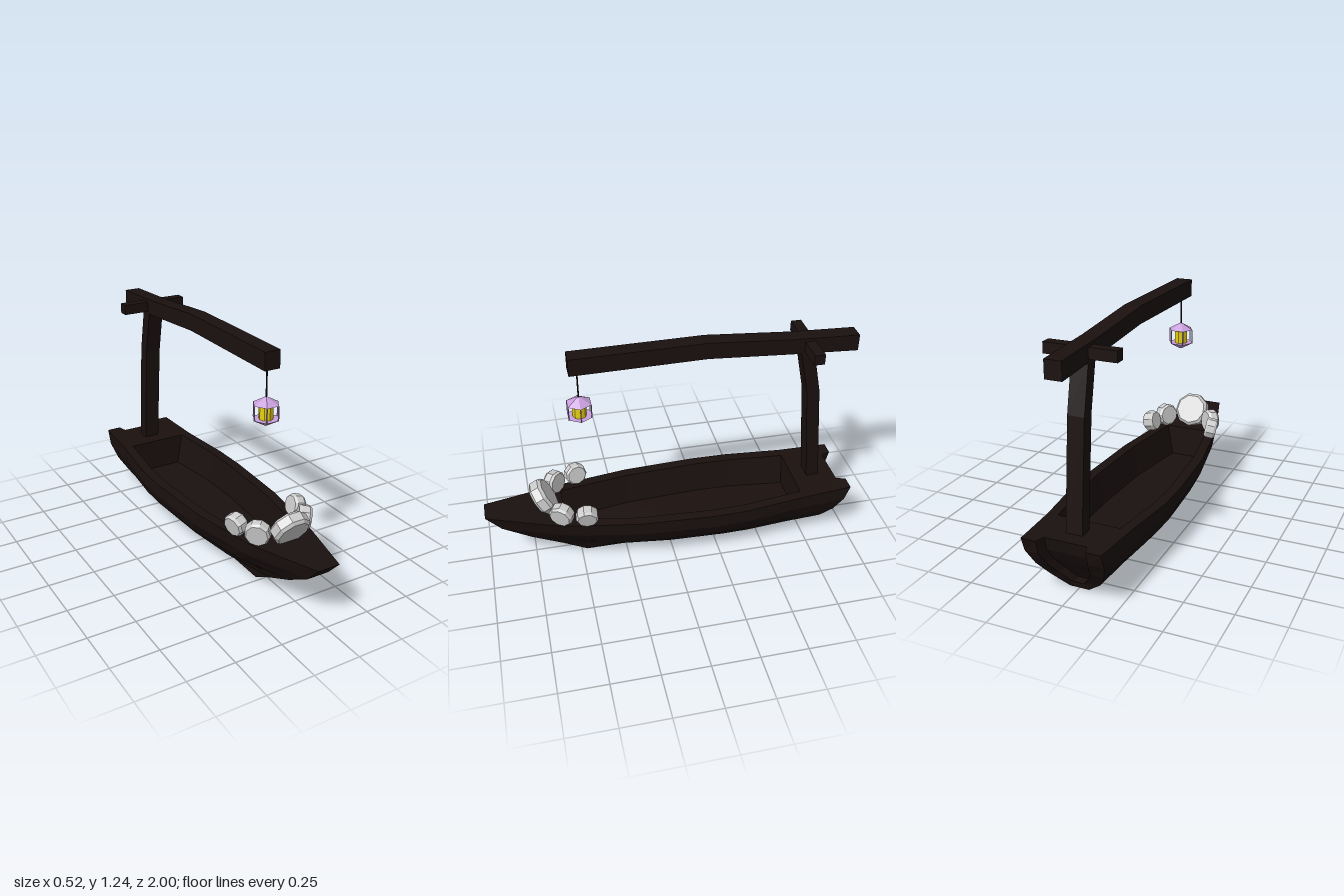
import * as THREE from 'three';

const mat = (color) => new THREE.MeshStandardMaterial({ color, flatShading: true, side: THREE.DoubleSide });

// Skin a surface through rows of [x, y, z] points
function loft(rows) {
  const pos = [];
  for (let i = 0; i < rows.length - 1; i++) {
    for (let j = 0; j < rows[i].length - 1; j++) {
      const a = rows[i][j], b = rows[i][j + 1], c = rows[i + 1][j + 1], d = rows[i + 1][j];
      pos.push(...a, ...b, ...c, ...a, ...c, ...d);
    }
  }
  const g = new THREE.BufferGeometry();
  g.setAttribute('position', new THREE.Float32BufferAttribute(pos, 3));
  g.computeVertexNormals();
  return g;
}

export function createModel() {
  const root = new THREE.Group();
  const wood = mat(0x1a110f), stoneMat = mat(0xcccccc), purple = mat(0xc9a0dc), yellow = mat(0xe6d012);
  const add = (parent, name, geo, material, x = 0, y = 0, z = 0) => {
    const m = new THREE.Mesh(geo, material);
    m.name = name;
    m.position.set(x, y, z);
    parent.add(m);
    return m;
  };

  // Hull stations: z at the sheer, half width, sheer height (bow to stern)
  const stations = [
    [1, 0.06, 0.33], [0.64, 0.165, 0.303], [0.58, 0.178, 0.3], [0.2, 0.24, 0.294], [-0.2, 0.262, 0.292],
    [-0.4, 0.258, 0.293], [-0.72, 0.222, 0.3], [-0.95, 0.208, 0.308], [-1, 0.205, 0.31],
  ];
  // Section levels: width fraction, height fraction, stern z, bow z (keel to sheer)
  const levels = [
    [0, 0, -0.83, 0.47], [0.53, 0.22, -0.87, 0.6], [0.83, 0.47, -0.925, 0.77],
    [1, 0.74, -0.97, 0.92], [1, 1, -1, 1],
  ];
  const half = ([z, w, h]) => levels.map(([fx, fy, zs, zb]) =>
    [0.05 + (w - 0.05) * fx, h * fy, zs + (zb - zs) * (z + 1) / 2]);
  const mirror = ([x, y, z]) => [-x, y, z];
  const full = (pts) => [...pts.map(mirror).reverse(), ...pts];

  const hull = new THREE.Group();
  hull.name = 'hull';
  root.add(hull);
  add(hull, 'hullSkin', loft(stations.map((s) => full(half(s)))), wood);
  const across = (pts) => pts.map((p) => [mirror(p), p]);
  add(hull, 'stem', loft(across(half(stations[0]))), wood);

  // Decks and gunwales around the open well
  const edge = ([z, w, h]) => [[-w, h, z], [w, h, z]];
  add(hull, 'bowDeck', loft(stations.slice(0, 3).map(edge)), wood);
  add(hull, 'sternDeck', loft(stations.slice(6, 8).map(edge)), wood);
  const well = stations.slice(2, 7);
  const inner = (w) => w - 0.055;
  for (const s of [1, -1]) {
    add(hull, 'gunwale', loft(well.map(([z, w, h]) => [[s * w, h, z], [s * inner(w), h, z]])), wood);
  }
  const wellRow = ([z, w, h]) => full([[inner(w) - 0.03, 0.12, z], [inner(w), h, z]]);
  add(hull, 'well', loft(well.map(wellRow)), wood);
  for (const s of [well[0], well[4]]) {
    const r = wellRow(s);
    add(hull, 'wellEnd', loft([[r[0], r[3]], [r[1], r[2]]]), wood);
  }

  // Recessed transom inside a thick stern rim
  const outer = half(stations[8]);
  const rim = outer.map(([x, y, z], j) => [x * 0.62, j === 4 ? y : y * 0.88 + 0.035, z - (j < 4 ? 0.012 : 0)]);
  const recess = rim.map(([x, y, z], j) => [x * 0.87, j === 4 ? 0.308 : y, z + 0.05]);
  add(hull, 'sternRim', loft([full(outer), full(rim), full(recess)]), wood);
  add(hull, 'transom', loft(across(recess)), wood);
  for (const s of [1, -1]) {
    const side = (p) => [s * p[0], p[1], p[2]];
    add(hull, 'sternHorn', loft([[side([0.208, 0.308, -0.95]), side(recess[4])], [side(outer[4]), side(rim[4])]]), wood);
  }

  // Timbers: side outline in (z, y) extruded across x
  const timber = (name, outline, width) => {
    const shape = new THREE.Shape(outline.map(([z, y]) => new THREE.Vector2(-z, y)));
    const g = new THREE.ExtrudeGeometry(shape, { depth: width, bevelEnabled: false });
    g.translate(0, 0, -width / 2).rotateY(Math.PI / 2);
    add(root, name, g, wood);
  };
  timber('post', [[-0.87, 0.28], [-0.8, 0.28], [-0.745, 0.87], [-0.69, 1.13], [-0.76, 1.13], [-0.815, 0.87]], 0.086);
  timber('beam', [[0.5, 1.135], [0.5, 1.228], [-0.2, 1.235], [-0.65, 1.2], [-1, 1.185],
    [-1, 1.095], [-0.65, 1.115], [-0.2, 1.145]], 0.086);
  add(root, 'crossbar', new THREE.BoxGeometry(0.37, 0.055, 0.055), wood, 0, 1.152, -0.735);

  // Hanging lantern
  const lantern = new THREE.Group();
  lantern.name = 'lantern';
  lantern.position.set(0, 0.912, 0.455);
  root.add(lantern);
  const turn = Math.PI / 2;
  add(lantern, 'cord', new THREE.CylinderGeometry(0.004, 0.004, 0.16, 6), wood, 0, 0.15, 0);
  add(lantern, 'lanternRoof', new THREE.CylinderGeometry(0.006, 0.069, 0.036, 6), purple, 0, 0.056, 0).rotation.y = turn;
  add(lantern, 'lanternBase', new THREE.CylinderGeometry(0.069, 0.006, 0.036, 6), purple, 0, -0.056, 0).rotation.y = turn;
  add(lantern, 'candle', new THREE.CylinderGeometry(0.036, 0.036, 0.078, 8), yellow);
  for (let i = 0; i < 6; i++) {
    const a = i * Math.PI / 3;
    add(lantern, 'cagePost', new THREE.BoxGeometry(0.005, 0.078, 0.005), purple,
      0.067 * Math.cos(a), 0, 0.067 * Math.sin(a));
  }

  // Bevelled round stones on the bow: radius, thickness, centre, axis
  const stone = (r, t, centre, axis) => {
    const h = t / 2;
    const profile = [[0, -h], [r * 0.85, -h], [r, -h * 0.6], [r, h * 0.6], [r * 0.85, h], [0, h]];
    const m = add(root, 'stone', new THREE.LatheGeometry(profile.map((p) => new THREE.Vector2(...p)), 9),
      stoneMat, ...centre);
    m.quaternion.setFromUnitVectors(new THREE.Vector3(0, 1, 0), new THREE.Vector3(...axis).normalize());
  };
  stone(0.1, 0.075, [0.005, 0.382, 0.68], [0, -0.5, 0.87]);
  stone(0.066, 0.065, [0.145, 0.36, 0.6], [0.85, -0.15, 0.5]);
  stone(0.066, 0.065, [-0.135, 0.36, 0.61], [-0.7, -0.12, 0.7]);
  stone(0.06, 0.065, [0.185, 0.358, 0.472], [1, -0.25, 0.1]);
  stone(0.06, 0.065, [-0.182, 0.362, 0.487], [-0.95, -0.2, 0.25]);
  return root;
}
